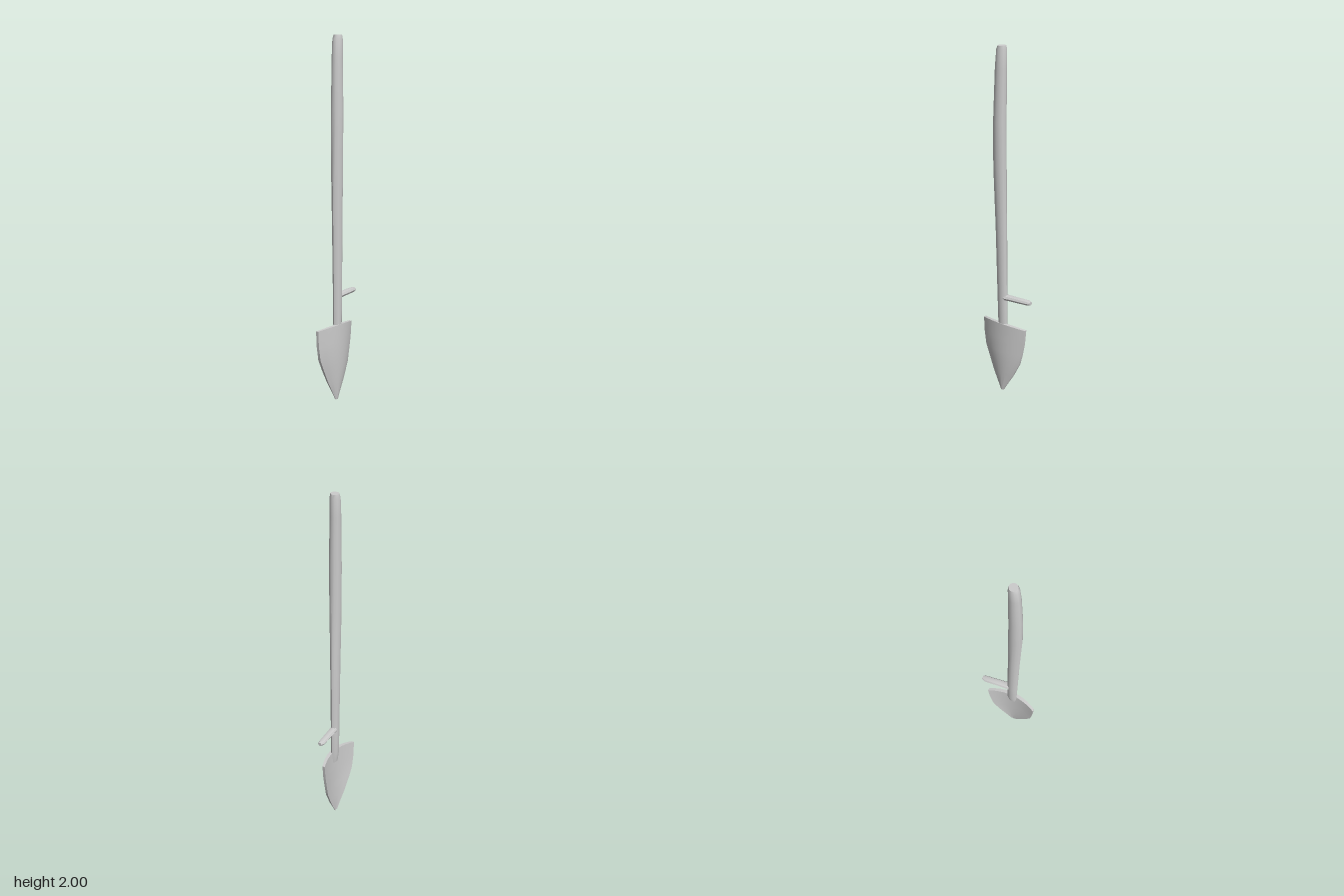
import * as THREE from 'three';
import { toCreasedNormals } from 'three/addons/utils/BufferGeometryUtils.js';

const V = (x, y, z) => new THREE.Vector3(x, y, z);

// Skin a stack of closed rings (counter-clockwise seen from the last ring's side), capped at both ends.
function loft(rings, crease = 0.7) {
  const n = rings[0].length, last = (rings.length - 1) * n, index = [];
  for (let i = 0; i < rings.length - 1; i++) {
    for (let j = 0; j < n; j++) {
      const a = i * n + j, b = i * n + (j + 1) % n;
      index.push(a, b, b + n, a, b + n, a + n);
    }
  }
  // caps pair opposite points, so they also suit a crescent outline
  for (let j = 0; j < n / 2 - 1; j++) {
    const k = n - 1 - j;
    index.push(k, j + 1, j, k, k - 1, j + 1);
    index.push(last + j, last + j + 1, last + k, last + j + 1, last + k - 1, last + k);
  }
  const geo = new THREE.BufferGeometry().setFromPoints(rings.flat());
  geo.setIndex(index);
  return toCreasedNormals(geo, crease);
}

const circle = (n, fn) => Array.from({ length: n }, (_, j) => {
  const a = (j / n) * Math.PI * 2;
  return fn(Math.cos(a), Math.sin(a));
});

export function createModel() {
  const group = new THREE.Group();
  const material = new THREE.MeshStandardMaterial({ color: 0xcccccc, side: THREE.DoubleSide });
  const add = (name, geo) => {
    const mesh = new THREE.Mesh(geo, material);
    mesh.name = name;
    group.add(mesh);
  };

  // Shaft: slightly bowed wooden pole; rows are y, xMin, xMax, zMin, zMax
  const shaftRows = [
    [0.36, -0.012, 0.016, -0.008, 0.038],
    [0.43, -0.022, 0.018, -0.015, 0.043],
    [0.60, -0.022, 0.021, -0.015, 0.047],
    [1.00, -0.023, 0.027, -0.014, 0.056],
    [1.35, -0.024, 0.035, -0.012, 0.067],
    [1.60, -0.025, 0.038, -0.011, 0.065],
    [1.88, -0.025, 0.031, -0.011, 0.056],
    [1.98, -0.025, 0.029, -0.011, 0.047],
    [2.00, -0.021, 0.025, -0.007, 0.038],
  ];
  add('shaft', loft(shaftRows.map(([y, x0, x1, z0, z1]) =>
    circle(12, (c, s) => V((x0 + x1) / 2 + c * (x1 - x0) / 2, y, (z0 + z1) / 2 - s * (z1 - z0) / 2)))));

  // Foot peg: short bar pointing back; rows are z, centre x, radius x, radius y
  const pegRows = [
    [-0.165, -0.023, 0.012, 0.010],
    [-0.145, -0.023, 0.019, 0.015],
    [-0.060, -0.011, 0.020, 0.016],
    [0.000, -0.003, 0.022, 0.017],
  ];
  add('footPeg', loft(pegRows.map(([z, x, rx, ry]) =>
    circle(8, (c, s) => V(x + c * rx, 0.591 + s * ry, z)))));

  // Blade: pointed scoop, hollow toward -x; rows are y, zMin, zMax, edge x, outer x, inner x
  const bladeRows = [
    [0.000, 0.010, 0.030, -0.006, 0.003, -0.004],
    [0.040, -0.012, 0.050, -0.010, 0.007, -0.006],
    [0.110, -0.052, 0.086, -0.018, 0.014, -0.006],
    [0.200, -0.094, 0.124, -0.027, 0.020, -0.004],
    [0.260, -0.107, 0.148, -0.030, 0.022, -0.003],
    [0.340, -0.122, 0.160, -0.031, 0.022, -0.002],
    [0.432, -0.131, 0.165, -0.031, 0.020, 0.000],
  ];
  const STEPS = 10;
  add('blade', loft(bladeRows.map(([y, z0, z1, edge, outer, inner]) => {
    const arc = (u, mid, rim) => {
      const bulge = 1 - u * u;
      return V(rim + (mid - rim) * bulge, y - 0.016 * u * u * (y / 0.432), (z0 + z1) / 2 - u * (z1 - z0) / 2);
    };
    const us = Array.from({ length: STEPS + 1 }, (_, i) => (i / STEPS) * 2 - 1);
    const rim = edge + (outer - edge) * 0.3;
    return [...us.map(u => arc(u, outer, rim)), ...us.reverse().map(u => arc(u, inner, edge))];
  })));

  return group;
}
